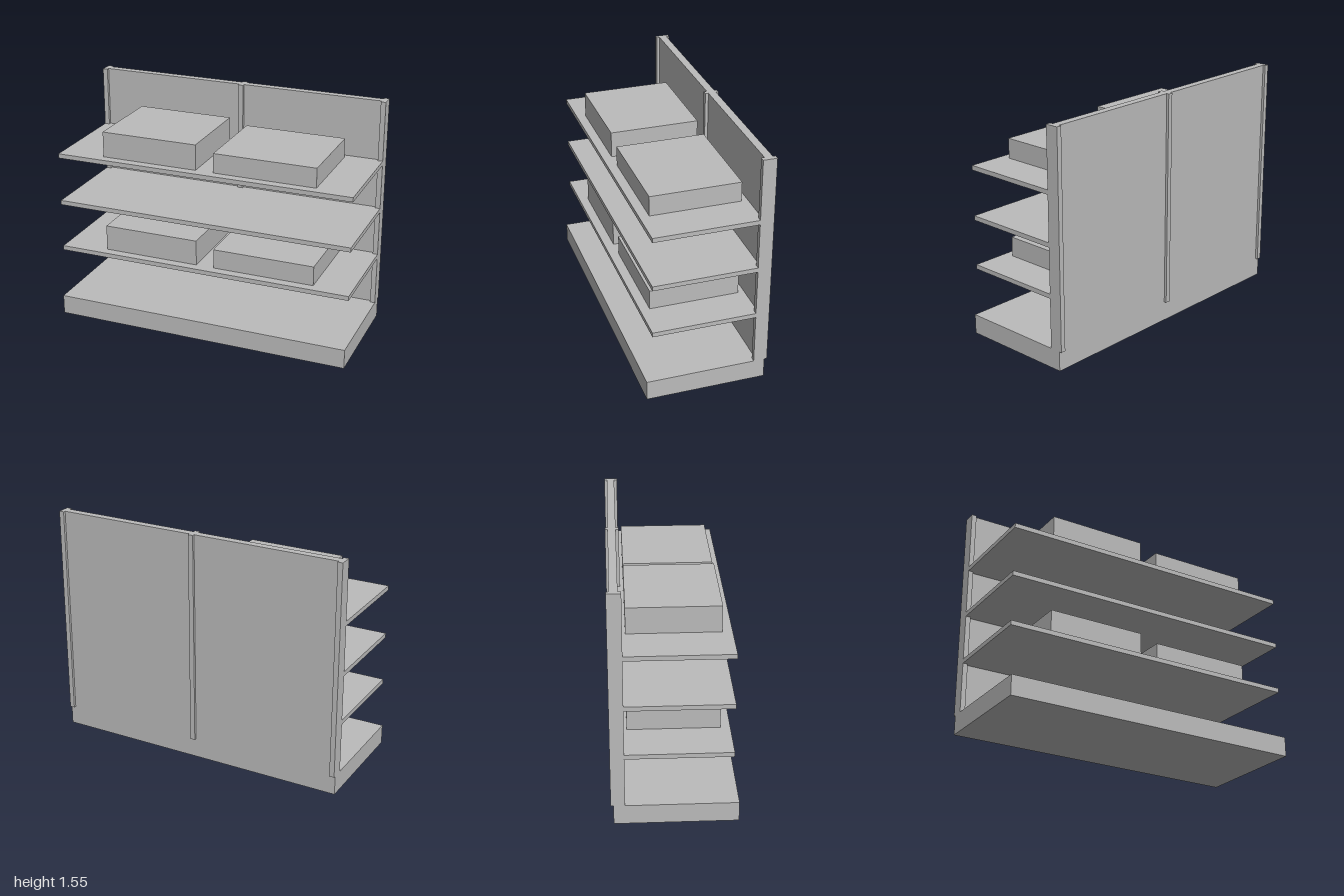
import * as THREE from 'three';

const grey = new THREE.MeshStandardMaterial({ color: 0xbbbbbb });
grey.name = 'shelfGrey';

// Box given by its lower and upper limits on each axis
function block(name, [x0, x1], [y0, y1], [z0, z1]) {
  const mesh = new THREE.Mesh(new THREE.BoxGeometry(x1 - x0, y1 - y0, z1 - z0), grey);
  mesh.position.set((x0 + x1) / 2, (y0 + y1) / 2, (z0 + z1) / 2);
  mesh.name = name;
  return mesh;
}

export function createModel() {
  const model = new THREE.Group();
  model.name = 'shopShelf';
  const top = 1.546, baseTop = 0.13;
  const panelBack = -0.378, panelFront = -0.327, postFront = -0.307;

  // Plinth and back panel
  model.add(block('base', [-1, 1], [0, baseTop], [panelBack, 0.395]));
  model.add(block('backPanel', [-1, 1], [baseTop, top], [panelBack, panelFront]));

  // Uprights, standing proud of the panel on both sides
  const posts = [[-1, -0.967], [0, 0.033], [0.967, 1]];
  for (const x of posts) model.add(block('post', x, [baseTop, top], [-0.395, postFront]));

  // Shelves, notched around the uprights
  for (const y of [0.46, 0.79, 1.12]) {
    const shelf = new THREE.Group();
    shelf.name = 'shelf';
    shelf.add(block('shelfBoard', [-1, 1], [y, y + 0.03], [postFront, 0.358]));
    for (let i = 0; i < 2; i++) {
      shelf.add(block('shelfRear', [posts[i][1], posts[i + 1][0]], [y, y + 0.03], [panelFront, postFront]));
    }
    model.add(shelf);
  }

  // A tall and a low box on the bottom and top shelves
  for (const y of [0.49, 1.15]) {
    model.add(block('tallBox', [-0.7, -0.05], [y, y + 0.17], [-0.286, 0.297]));
    model.add(block('lowBox', [0.07, 0.75], [y, y + 0.13], [-0.286, 0.297]));
  }
  return model;
}
